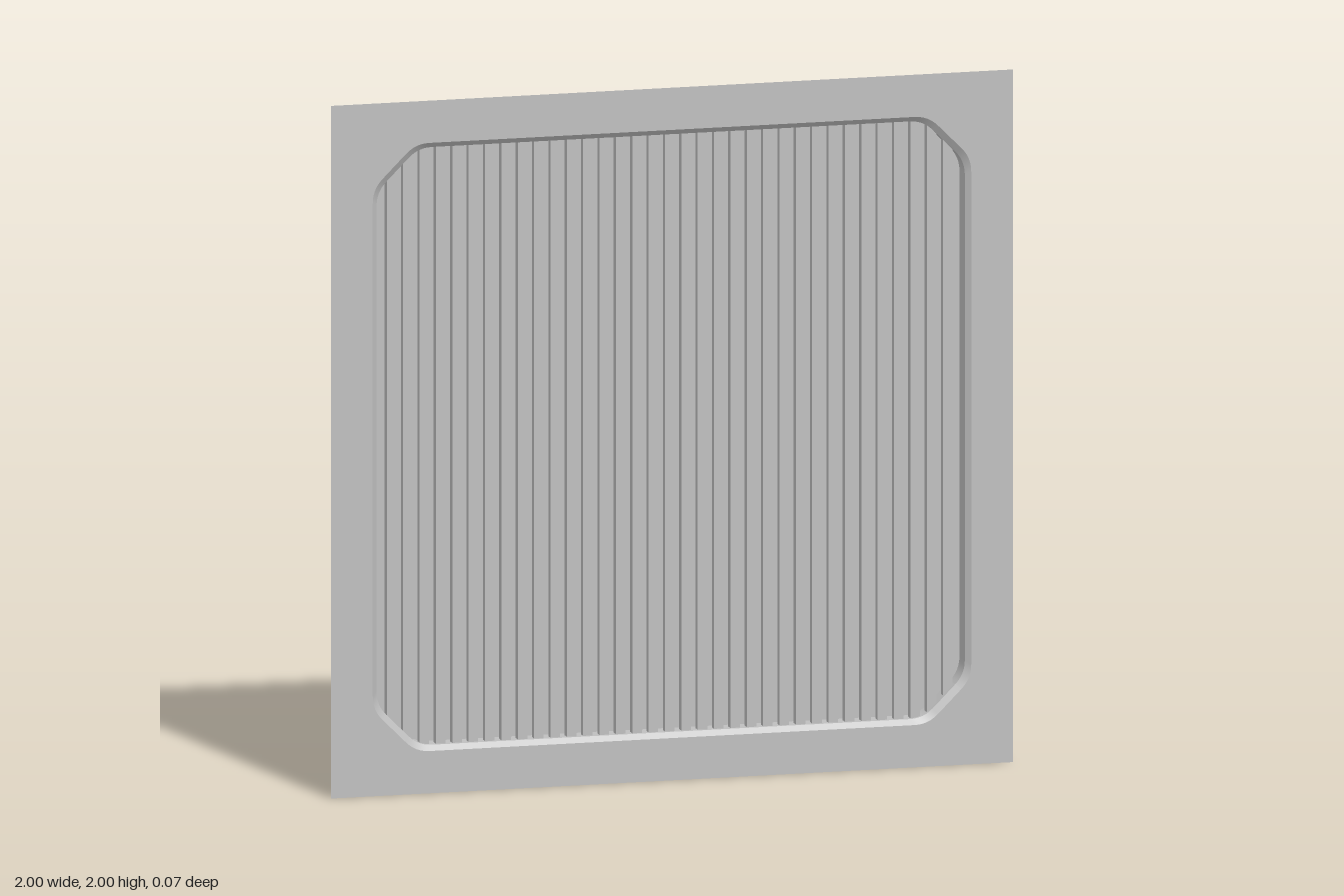
import * as THREE from 'three';

const metal = new THREE.MeshStandardMaterial({ color: 0xbfbfbf, side: THREE.DoubleSide });
metal.name = 'grey metal';

const CY = 1, FRONT = 0.036, BACK = -0.036;

// Square of half size h with cut, softly rounded corners, as a closed loop of points
function outline(h, cut) {
  const pts = [], r = 0.04, c = h - cut;
  const corners = [[h, -c], [h, c], [c, h], [-c, h], [-h, c], [-h, -c], [-c, -h], [c, -h]]
    .map(([x, y]) => new THREE.Vector2(x, y + CY));
  corners.forEach((p, i) => {
    const toward = (q) => p.clone().add(q.clone().sub(p).setLength(r));
    const bend = new THREE.QuadraticBezierCurve(
      toward(corners[(i + 7) % 8]), p, toward(corners[(i + 1) % 8]));
    pts.push(...bend.getPoints(6));
  });
  return pts;
}

// Band of faces joining two loops, visible side facing the opening
function band(a, za, b, zb) {
  const pos = [], idx = [], n = a.length;
  for (let i = 0; i <= n; i++) {
    const p = a[i % n], q = b[i % n];
    pos.push(p.x, p.y, za, q.x, q.y, zb);
  }
  for (let i = 0; i < n; i++) {
    const k = i * 2;
    idx.push(k, k + 2, k + 1, k + 1, k + 2, k + 3);
  }
  const g = new THREE.BufferGeometry();
  g.setAttribute('position', new THREE.Float32BufferAttribute(pos, 3));
  g.setIndex(idx);
  g.computeVertexNormals();
  return g;
}

export function createModel() {
  const group = new THREE.Group();
  const add = (name, geometry, x = 0, y = 0, z = 0) => {
    const mesh = new THREE.Mesh(geometry, metal);
    mesh.name = name;
    mesh.position.set(x, y, z);
    group.add(mesh);
    return mesh;
  };

  const mouth = outline(0.878, 0.126);
  const throat = outline(0.863, 0.122);

  // Thin front sheet with the opening
  const sheet = new THREE.Shape([
    new THREE.Vector2(-1, 0), new THREE.Vector2(1, 0),
    new THREE.Vector2(1, 2), new THREE.Vector2(-1, 2)]);
  sheet.holes.push(new THREE.Path(mouth));
  add('frontSheet', new THREE.ShapeGeometry(sheet), 0, 0, FRONT);

  // Flared lip and straight wall of the opening
  add('openingLip', band(mouth, FRONT, throat, 0.022));
  add('openingWall', band(throat, 0.022, throat, BACK));

  // Square back panel
  add('backPanel', new THREE.PlaneGeometry(1.726, 1.726), 0, CY, BACK).rotation.y = Math.PI;

  // Row of open-ended upright slats passing through the wall
  const slats = new THREE.Group();
  slats.name = 'slats';
  group.add(slats);
  const tube = new THREE.BoxGeometry(0.028, 1.8, 0.024);
  // drop the top and bottom caps
  const index = Array.from(tube.index.array);
  index.splice(12, 12);
  tube.setIndex(index);
  tube.clearGroups();
  const count = 35, pitch = 0.048;
  for (let i = 0; i < count; i++) {
    const slat = new THREE.Mesh(tube, metal);
    slat.name = 'slat';
    slat.position.set((i - (count - 1) / 2) * pitch, CY + 0.01, 0);
    slats.add(slat);
  }
  return group;
}
